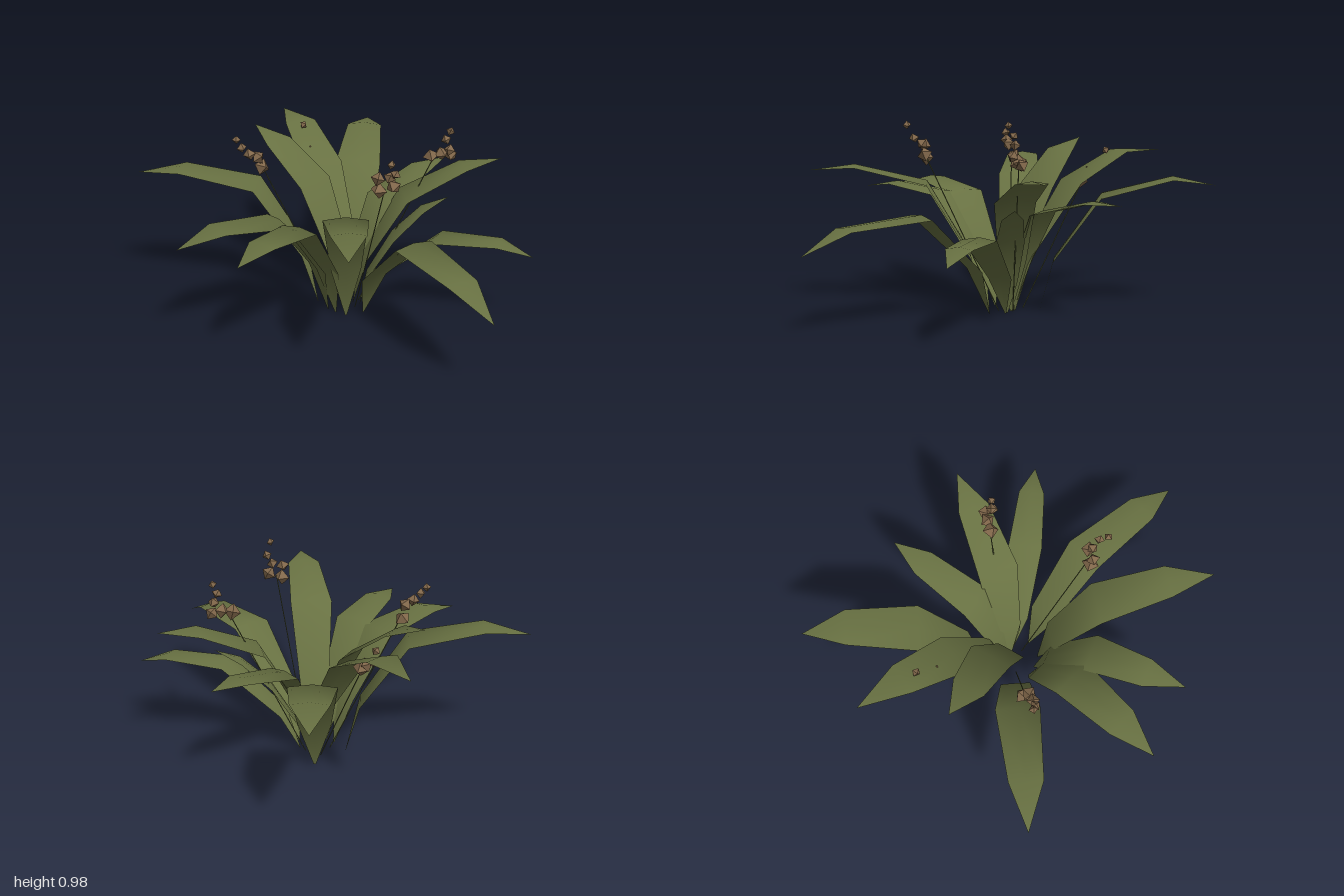
import * as THREE from 'three';

const leafGreen = new THREE.MeshStandardMaterial({ color: 0x687142, side: THREE.DoubleSide });
leafGreen.name = 'leafGreen';
const budBrown = new THREE.MeshStandardMaterial({ color: 0x82684b, flatShading: true });
budBrown.name = 'budBrown';

// Each leaf: root as [x, z], then bend, shoulder, tip as [x, y, z], and a width scale
const LEAVES = [
  [[-0.09, -0.12], [-0.21, 0.60, -0.40], [-0.35, 0.69, -0.72], [-0.44, 0.65, -0.915], 1.1],
  [[-0.03, 0.0], [-0.30, 0.65, -0.19], [-0.53, 0.79, -0.35], [-0.73, 0.78, -0.50], 1],
  [[-0.02, 0.04], [-0.24, 0.62, -0.02], [-0.47, 0.79, -0.045], [-0.635, 0.835, -0.08], 1],
  [[-0.17, 0.08], [-0.45, 0.645, 0.19], [-0.785, 0.715, 0.345], [-1.0, 0.675, 0.43], 1],
  [[-0.08, 0.13], [-0.20, 0.57, 0.38], [-0.345, 0.61, 0.675], [-0.44, 0.555, 0.87], 1],
  [[-0.03, 0.14], [-0.05, 0.58, 0.43], [-0.07, 0.61, 0.715], [-0.07, 0.575, 0.915], 0.9],
  [[0.03, 0.14], [0.17, 0.66, 0.38], [0.36, 0.745, 0.68], [0.475, 0.72, 0.88], 1],
  [[0.09, 0.07], [0.45, 0.535, 0.235], [0.80, 0.51, 0.435], [1.0, 0.40, 0.535], 0.95],
  [[0.05, 0.0], [0.43, 0.45, -0.07], [0.725, 0.46, -0.135], [0.89, 0.40, -0.17], 0.8],
  [[-0.01, 0.0], [0.20, 0.60, -0.135], [0.425, 0.73, -0.34], [0.57, 0.745, -0.48], 0.95],
  [[-0.03, -0.01], [0.035, 0.53, -0.20], [0.115, 0.61, -0.50], [0.17, 0.61, -0.675], 0.85],
];

// Short young leaf sheltered under a longer one
const YOUNG_LEAF = [[0.03, 0.0], [0.17, 0.39, -0.09], [0.29, 0.53, -0.17], [0.40, 0.59, -0.24], 0.65];

// Each stalk: foot, then buds from lowest (largest) to highest (smallest)
const STALKS = [
  { foot: [0.03, 0.01, 0.05], buds: [[0.30, 0.80, 0.30], [0.36, 0.82, 0.27], [0.30, 0.86, 0.31],
    [0.35, 0.87, 0.29], [0.39, 0.90, 0.31], [0.39, 0.96, 0.35]] },
  { foot: [-0.09, 0.01, 0.06], buds: [[-0.41, 0.74, 0.20], [-0.41, 0.80, 0.23],
    [-0.44, 0.82, 0.26], [-0.47, 0.855, 0.28], [-0.50, 0.89, 0.28]] },
  { foot: [0.01, 0.01, -0.02], buds: [[0.31, 0.80, -0.21], [0.35, 0.81, -0.24], [0.39, 0.80, -0.27],
    [0.40, 0.84, -0.23], [0.38, 0.89, -0.23], [0.40, 0.935, -0.235]] },
  { foot: [-0.08, 0.01, -0.03], buds: [[-0.37, 0.64, -0.21], [-0.41, 0.68, -0.24],
    [-0.46, 0.71, -0.26], [-0.48, 0.79, -0.30]] },
];

const vec = (p) => new THREE.Vector3(...p);

// Folded blade lofted along a bent midrib, three points across each section
function makeLeaf([root, bend, shoulder, tip, scale]) {
  const base = new THREE.Vector3(root[0], 0.005, root[1]);
  const low = base.clone().lerp(vec(bend), 0.23);
  low.y = bend[1] * 0.45;
  const rib = [base, low, vec(bend), vec(shoulder), vec(tip)];
  const widths = [0.01, 0.15, 0.215, 0.165, 0];
  const folds = [0, 0.005, 0.015, 0.012, 0];
  const along = vec(tip).sub(base).setY(0).normalize();
  const side = new THREE.Vector3(-along.z, 0, along.x);
  const pos = [], index = [];
  rib.forEach((c, i) => {
    for (const j of [-1, 0, 1]) {
      const p = c.clone().addScaledVector(side, j * widths[i] * scale / 2);
      p.y += folds[i] * (j === 0 ? 0.5 : -0.5);
      pos.push(p.x, p.y, p.z);
    }
    if (i === rib.length - 1) return;
    for (const j of [0, 1]) {
      const a = i * 3 + j, b = a + 3;
      index.push(a, a + 1, b);
      if (i < rib.length - 2) index.push(a + 1, b + 1, b);
    }
  });
  // Both halves of the tip share one point
  const last = (rib.length - 1) * 3;
  const geo = new THREE.BufferGeometry();
  geo.setAttribute('position', new THREE.Float32BufferAttribute(pos, 3));
  geo.setIndex(index.map((k) => (k >= last ? last + 1 : k)));
  geo.computeVertexNormals();
  return new THREE.Mesh(geo, leafGreen);
}

// Thin straight stalk carrying angular buds that shrink toward the top
function makeStalk({ foot, buds }, n) {
  const group = new THREE.Group();
  const neck = vec(buds[0]).lerp(vec(buds[1]), 0.4);
  const line = new THREE.LineCurve3(vec(foot), neck);
  const stem = new THREE.Mesh(new THREE.TubeGeometry(line, 1, 0.003, 3), leafGreen);
  stem.name = 'flowerStem';
  group.add(stem);
  buds.forEach((p, i) => {
    const r = 0.042 - 0.02 * i / (buds.length - 1);
    const bud = new THREE.Mesh(new THREE.OctahedronGeometry(r), budBrown);
    bud.name = 'bud';
    bud.position.set(...p);
    bud.rotation.set(i * 1.3 + n, i * 2.1, i * 0.7 + n * 0.5);
    group.add(bud);
  });
  return group;
}

export function createModel() {
  const plant = new THREE.Group();
  plant.name = 'plant';
  LEAVES.forEach((data) => {
    const leaf = makeLeaf(data);
    leaf.name = 'leaf';
    plant.add(leaf);
  });
  const young = makeLeaf(YOUNG_LEAF);
  young.name = 'youngLeaf';
  plant.add(young);
  STALKS.forEach((data, n) => {
    const stalk = makeStalk(data, n);
    stalk.name = 'flowerStalk';
    plant.add(stalk);
  });
  return plant;
}
